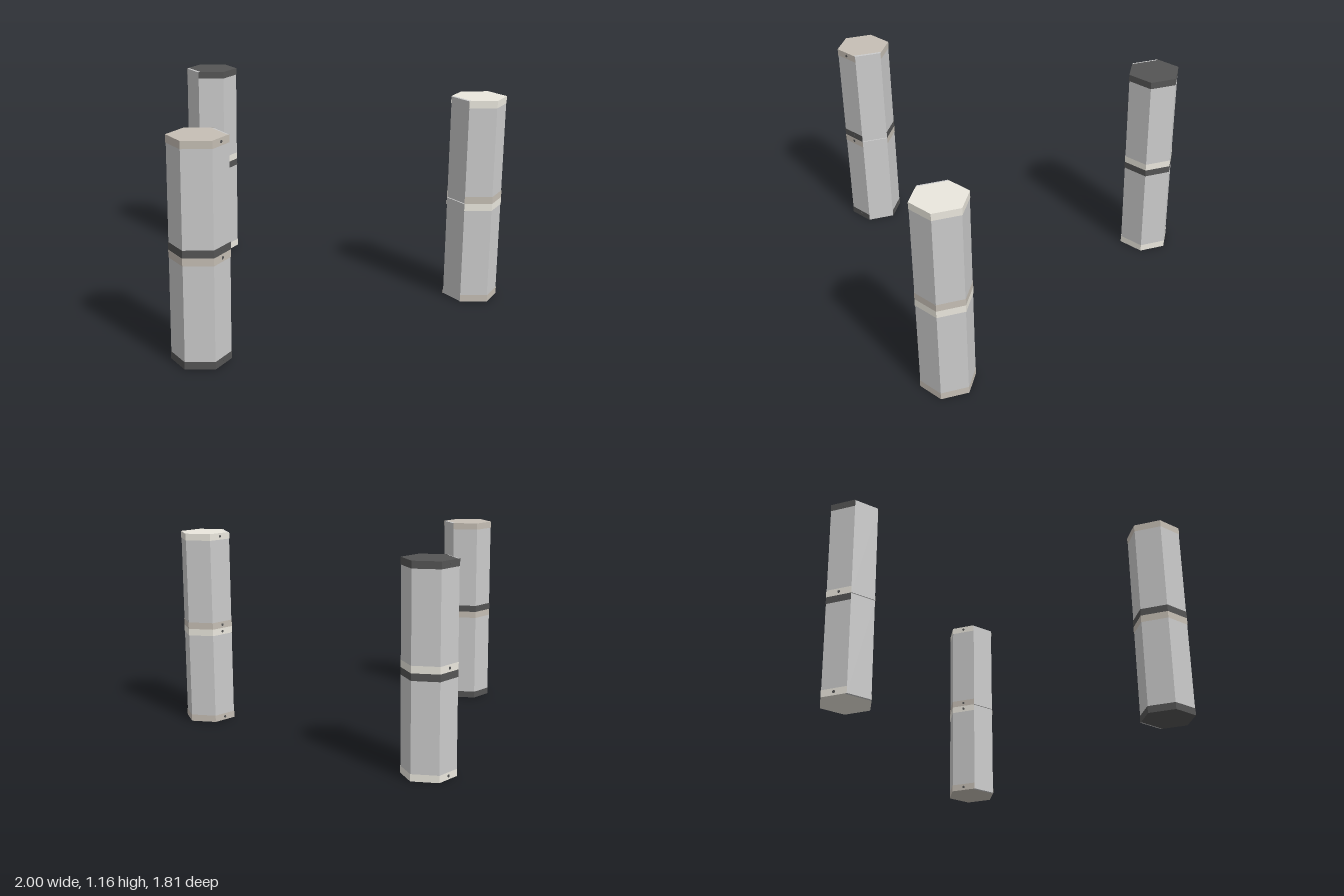
import * as THREE from 'three';

const R = 0.153;        // corner radius of the hexagon, corners on +-z
const HALF = 0.579;     // height of one stacked segment
const BAND = 0.04;      // height of an end band
const CUT = 0.119;      // end plates stop short of the unbanded face

const mat = (color) => new THREE.MeshStandardMaterial({ color, flatShading: true, side: THREE.DoubleSide });

function add(parent, name, geometry, material, x = 0, y = 0, z = 0) {
  const mesh = new THREE.Mesh(geometry, material);
  mesh.name = name;
  mesh.position.set(x, y, z);
  parent.add(mesh);
  return mesh;
}

export function createModel() {
  const root = new THREE.Group();
  root.name = 'hexagonalColumns';

  const grey = mat(0xcccccc);
  const dark = mat(0x555555);
  const light = mat(0xebe8de);
  const taupe = mat(0xc6bfb5);

  // Shared geometries
  const bodyGeo = new THREE.CylinderGeometry(R - 0.002, R - 0.002, HALF - 0.004, 6);
  // Band wraps five faces and leaves the -x face open
  const bandGeo = new THREE.CylinderGeometry(R, R, BAND, 5, 1, true, Math.PI * 5 / 3, Math.PI * 5 / 3);
  const a = R * Math.cos(Math.PI / 6);
  const edge = R - CUT * Math.tan(Math.PI / 6);
  const plateGeo = new THREE.ShapeGeometry(new THREE.Shape([
    [0, R], [-CUT, edge], [-CUT, -edge], [0, -R], [a, -R / 2], [a, R / 2],
  ].map(([x, y]) => new THREE.Vector2(x, y)))).rotateX(-Math.PI / 2);
  const studGeo = new THREE.CylinderGeometry(0.008, 0.008, 0.004, 10).rotateX(Math.PI / 2);

  // One segment: core, two end bands with plates, and small studs
  function segment(parent, y0, topMat, bottomMat) {
    const g = new THREE.Group();
    g.name = 'segment';
    g.position.y = y0;
    parent.add(g);
    add(g, 'core', bodyGeo, grey, 0, HALF / 2, 0);
    for (const [label, material, bandY, plateY] of [
      ['bottom', bottomMat, BAND / 2, 0],
      ['top', topMat, HALF - BAND / 2, HALF],
    ]) {
      add(g, label + 'Band', bandGeo, material, 0, bandY, 0);
      add(g, label + 'Plate', plateGeo, material, 0, plateY, 0);
      const t = Math.PI * 7 / 6;
      const stud = add(g, label + 'Stud', studGeo, dark, a * Math.sin(t), bandY, a * Math.cos(t));
      stud.rotation.y = t;
    }
  }

  // Three columns, each of two identical segments
  for (const [name, x, z, turn, topMat, bottomMat] of [
    ['rightColumn', -0.867, 0.752, Math.PI, taupe, dark],
    ['backColumn', 0, -0.752, 0, dark, light],
    ['leftColumn', 0.867, 0.752, 0, light, taupe],
  ]) {
    const column = new THREE.Group();
    column.name = name;
    column.position.set(x, 0, z);
    column.rotation.y = turn;
    root.add(column);
    for (let i = 0; i < 2; i++) segment(column, i * HALF, topMat, bottomMat);
  }
  return root;
}
